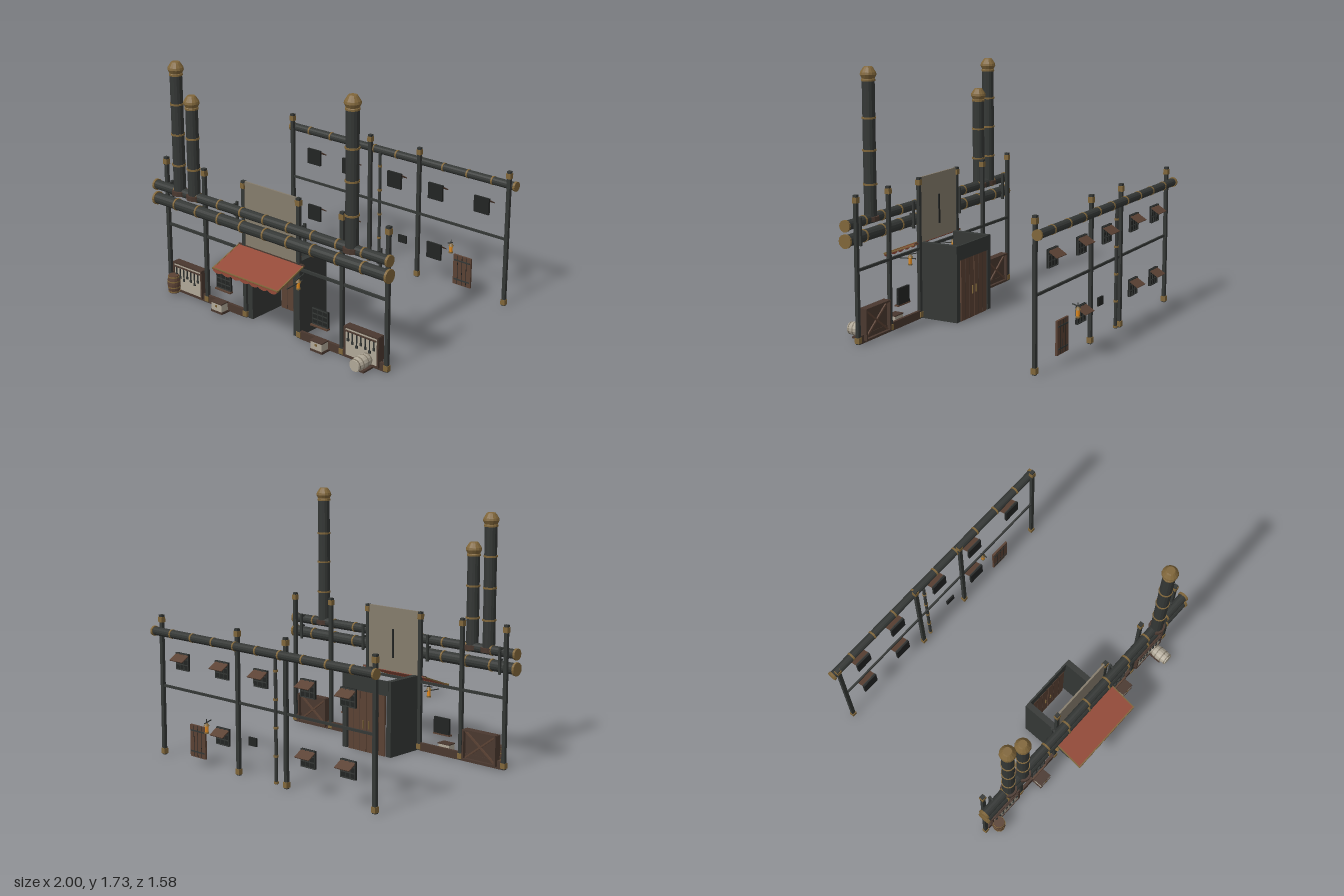
import * as THREE from 'three';

const mat = (color, double) => new THREE.MeshStandardMaterial({
  color, flatShading: true, side: double ? THREE.DoubleSide : THREE.FrontSide });
const IRON = mat(0x343735), BRASS = mat(0x80663a), WOOD = mat(0x4a382f), PLANK = mat(0x5b4234),
  RED = mat(0x944a38, true), CANVAS = mat(0x857c6c), PALE = mat(0xb0a898), GLOW = mat(0xe08a20), DARK = mat(0x222423);

export function createModel() {
  const root = new THREE.Group();
  const group = (name, x = 0, y = 0, z = 0, parent = root) => {
    const g = new THREE.Group();
    g.name = name;
    g.position.set(x, y, z);
    parent.add(g);
    return g;
  };
  const add = (parent, name, geo, m, x, y, z) => {
    const o = new THREE.Mesh(geo, m);
    o.name = name;
    o.position.set(x, y, z);
    parent.add(o);
    return o;
  };
  const box = (p, name, m, w, h, d, x, y, z) => add(p, name, new THREE.BoxGeometry(w, h, d), m, x, y, z);
  const cyl = (p, name, m, r, h, x, y, z, axis = 'y', r2 = r, n = 14) => {
    const o = add(p, name, new THREE.CylinderGeometry(r2, r, h, n), m, x, y, z);
    if (axis === 'x') o.rotation.z = Math.PI / 2;
    if (axis === 'z') o.rotation.x = Math.PI / 2;
    return o;
  };

  // Frame post with brass fittings at top and foot
  const post = (x, z) => {
    const g = group('post', x, 0, z);
    box(g, 'postShaft', IRON, 0.026, 0.95, 0.022, 0, 0.48, 0);
    for (const y of [0.03, 0.925]) box(g, 'postFitting', BRASS, 0.034, 0.036, 0.032, 0, y, 0);
    box(g, 'postTip', IRON, 0.028, 0.02, 0.026, 0, 0.948, 0);
  };
  for (const s of [-1, 1]) {
    for (const x of [0.945, 0.59, 0.235]) post(s * x, 0.533);
    for (const x of [0.945, 0.215]) post(s * x, -0.72);
  }

  // Long horizontal pipes with ring joints and end flanges
  const longPipe = (name, y, z, r, half) => {
    const g = group(name, 0, y, z);
    cyl(g, 'pipe', IRON, r, half * 2 - 0.01, 0, 0, 0, 'x');
    for (let i = -4; i <= 4; i++) cyl(g, 'pipeRing', BRASS, r * 1.1, 0.013, i * 0.2, 0, 0, 'x');
    for (const s of [-1, 1]) cyl(g, 'endFlange', BRASS, r * 1.2, 0.016, s * (half - 0.008), 0, 0, 'x');
  };
  longPipe('upperPipe', 0.765, 0.583, 0.032, 1);
  longPipe('lowerPipe', 0.668, 0.583, 0.038, 1);
  longPipe('backPipe', 0.85, -0.753, 0.028, 0.985);

  // Brackets holding the front pipes
  for (const s of [-1, 1]) for (const x of [0.29, 0.89]) {
    box(root, 'pipeBracket', IRON, 0.016, 0.18, 0.014, s * x, 0.715, 0.54);
    for (const y of [0.64, 0.72, 0.79]) box(root, 'bracketArm', IRON, 0.014, 0.012, 0.03, s * x, y, 0.552);
  }

  // Chimneys
  const chimney = (x, top, rings) => {
    const g = group('chimney', x, 0, 0.588);
    cyl(g, 'stack', IRON, 0.041, top - 0.06 - 0.76, 0, (top - 0.06 + 0.76) / 2, 0);
    cyl(g, 'stackFoot', WOOD, 0.055, 0.03, 0, 0.765, 0);
    for (const y of rings) cyl(g, 'stackRing', BRASS, 0.046, 0.012, 0, y, 0);
    const cap = [[0, -0.09], [0.045, -0.09], [0.045, -0.078], [0.041, -0.074], [0.053, -0.05], [0.05, -0.035],
      [0.033, -0.008], [0.026, 0], [0, 0]].map(p => new THREE.Vector2(...p));
    add(g, 'chimneyCap', new THREE.LatheGeometry(cap, 14), BRASS, 0, top, 0);
  };
  chimney(-0.765, 1.655, [0.96, 1.17, 1.375]);
  chimney(-0.63, 1.455, [0.96, 1.17]);
  chimney(0.71, 1.725, [0.985, 1.2, 1.405]);

  // Thin cross rails and foot boards
  box(root, 'frontRail', IRON, 1.9, 0.018, 0.014, 0, 0.48, 0.53);
  box(root, 'backRail', IRON, 1.9, 0.016, 0.012, 0, 0.48, -0.717);
  for (const s of [-1, 1]) box(root, 'footBoard', WOOD, 0.7, 0.055, 0.02, s * 0.597, 0.03, 0.533);

  // Sign panel above the entrance
  box(root, 'signPanel', CANVAS, 0.45, 0.44, 0.012, 0, 0.737, 0.533);
  box(root, 'panelBatten', DARK, 0.014, 0.2, 0.008, 0, 0.71, 0.524);

  // Entrance: side walls, lintel and double door
  const entrance = group('entrance');
  box(entrance, 'lintel', IRON, 0.4, 0.1, 0.012, 0, 0.468, 0.257);
  for (const s of [-1, 1]) {
    box(entrance, 'sideWall', IRON, 0.04, 0.518, 0.275, s * 0.2, 0.26, 0.39);
    box(entrance, 'doorLeaf', PLANK, 0.161, 0.42, 0.012, s * 0.084, 0.21, 0.259);
    for (const z of [0.25, 0.268]) {
      box(entrance, 'doorHandle', BRASS, 0.008, 0.055, 0.008, s * 0.025, 0.19, z);
      for (const x of [0.057, 0.112]) box(entrance, 'plankSeam', WOOD, 0.004, 0.41, 0.003, s * x, 0.21, z < 0.26 ? 0.2525 : 0.2655);
    }
  }

  // Awning with scalloped valance
  const awning = group('awning');
  const slope = Math.atan2(0.095, 0.255);
  const sheet = box(awning, 'awningSheet', RED, 0.55, 0.006, 0.272, 0, 0.468, 0.658);
  sheet.rotation.x = slope;
  for (const s of [-1, 1]) box(awning, 'awningEdge', BRASS, 0.008, 0.009, 0.272, s * 0.279, 0.468, 0.658).rotation.x = slope;
  box(awning, 'awningHem', BRASS, 0.566, 0.007, 0.008, 0, 0.426, 0.783);
  box(awning, 'wallBatten', WOOD, 0.566, 0.012, 0.012, 0, 0.515, 0.537);
  const valance = new THREE.Shape();
  valance.moveTo(-0.275, 0);
  valance.lineTo(0.275, 0);
  for (let i = 0; i < 7; i++) {
    const x = 0.275 - i * 0.55 / 7;
    valance.lineTo(x, -0.015);
    valance.quadraticCurveTo(x - 0.275 / 7, -0.04, x - 0.55 / 7, -0.015);
  }
  add(awning, 'valance', new THREE.ShapeGeometry(valance, 6), RED, 0, 0.424, 0.785);

  // Lanterns on wall arms; dir is the outward z direction
  const lantern = (x, y, z, dir, arm) => {
    const g = group('lantern', x, y, z);
    cyl(g, 'lanternGlass', GLOW, 0.011, 0.045, 0, 0, 0, 'y', 0.013, 8);
    cyl(g, 'lanternBase', BRASS, 0.015, 0.01, 0, -0.026, 0, 'y', 0.015, 8);
    cyl(g, 'lanternHood', BRASS, 0.02, 0.02, 0, 0.03, 0, 'y', 0.006, 8);
    cyl(g, 'lanternHook', IRON, 0.003, 0.03, 0, 0.05, 0, 'y', 0.003, 6);
    box(g, 'lanternArm', IRON, 0.006, 0.006, arm, 0, 0.045, -dir * 0.01).rotation.x = dir * 0.25;
  };
  for (const s of [-1, 1]) {
    lantern(s * 0.272, 0.4, 0.582, 1, 0.09);
    box(root, 'awningStay', IRON, 0.006, 0.006, 0.15, s * 0.272, 0.412, 0.612).rotation.x = 0.06;
  }
  lantern(0.47, 0.272, -0.762, -1, 0.06);

  // Dark barred window
  const barredWindow = (g, w, h, faceZ) => {
    box(g, 'pane', DARK, w, h, 0.012, 0, 0, 0);
    for (const t of [-0.5, -0.17, 0.17, 0.5]) {
      box(g, 'uprightBar', IRON, 0.006, h, 0.006, t * (w - 0.006), 0, faceZ);
      box(g, 'crossBar', IRON, w, 0.006, 0.006, 0, t * (h - 0.006), faceZ);
    }
  };
  // Back windows with tilted wooden shutters
  const backWindow = (x, y, w = 0.12) => {
    const g = group('backWindow', x, y, -0.722);
    barredWindow(g, w, w * 0.95, -0.008);
    box(g, 'shutter', PLANK, w, 0.006, w * 0.58, 0, w * 0.24, -0.035).rotation.x = -0.55;
  };
  for (const x of [-0.74, -0.41, 0, 0.355, 0.735]) backWindow(x, 0.67);
  for (const x of [-0.74, -0.41, 0.355]) backWindow(x, 0.235);
  box(root, 'smallVent', DARK, 0.07, 0.055, 0.012, 0.08, 0.25, -0.722);

  // Front windows with wooden sills, and a crate below each
  for (const s of [-1, 1]) {
    const g = group('frontWindow', s * 0.422, 0.205, 0.54);
    barredWindow(g, 0.13, 0.11, 0.008);
    box(g, 'sill', PLANK, 0.14, 0.01, 0.03, 0, -0.06, 0.008);

    const c = group('crate', s < 0 ? -0.425 : 0.45, 0.045, 0.588);
    box(c, 'crateBody', PALE, 0.09, 0.06, 0.06, 0, 0, 0);
    for (const y of [-0.03, 0.03]) box(c, 'crateTrim', WOOD, 0.098, 0.007, 0.068, 0, y, 0);
    box(c, 'crateLatch', BRASS, 0.014, 0.014, 0.006, 0, 0.008, 0.032);
    box(root, 'crateShelf', WOOD, 0.1, 0.01, 0.08, c.position.x, 0.008, 0.58);
  }

  // Tool boards with a braced wooden back and hanging tools
  for (const s of [-1, 1]) {
    const g = group('toolBoard', s * 0.76, 0.12, 0.535);
    box(g, 'board', PALE, 0.255, 0.19, 0.012, 0, 0, 0.012);
    box(g, 'backing', WOOD, 0.255, 0.19, 0.014, 0, 0, -0.002);
    for (const t of [-1, 1]) {
      box(g, 'boardRail', WOOD, 0.27, 0.012, 0.055, 0, t * 0.098, -0.005);
      box(g, 'boardStile', WOOD, 0.012, 0.2, 0.055, t * 0.131, 0, -0.005);
      box(g, 'backBrace', PLANK, 0.3, 0.012, 0.01, 0, 0, -0.014).rotation.z = t * 0.64;
    }
    box(g, 'toolRail', WOOD, 0.24, 0.007, 0.01, 0, 0.075, 0.023);
    for (let i = 0; i < 7; i++) {
      const x = -0.1 + i * 0.034, len = 0.05 + 0.014 * (i % 3);
      box(g, 'toolHandle', IRON, 0.006, len, 0.006, x, 0.072 - len / 2, 0.024);
      box(g, 'toolHead', IRON, 0.015, 0.018, 0.008, x, 0.068 - len, 0.024);
    }
  }

  // Barrels: one standing, one lying with its end to the front
  const barrel = (name, m, hoop, h, r, x, y, z) => {
    const g = group(name, x, y, z);
    const prof = [[0, -0.5], [0.82, -0.5], [0.95, -0.25], [1, 0], [0.95, 0.25], [0.82, 0.5], [0, 0.5]]
      .map(([a, b]) => new THREE.Vector2(a * r, b * h));
    add(g, 'staves', new THREE.LatheGeometry(prof, 14), m, 0, 0, 0);
    for (const t of [-0.42, -0.17, 0.17, 0.42])
      cyl(g, 'hoop', hoop, r * (1.04 - Math.abs(t) * 0.3), 0.008, 0, t * h, 0);
    return g;
  };
  barrel('standingBarrel', PLANK, BRASS, 0.125, 0.045, -0.865, 0.078, 0.583);
  barrel('lyingBarrel', PALE, CANVAS, 0.13, 0.046, 0.815, 0.06, 0.622).rotation.x = Math.PI / 2;
  box(root, 'barrelCradle', WOOD, 0.08, 0.012, 0.09, 0.815, 0.012, 0.6);

  // Back door
  const door = group('backDoor', 0.6, 0.155, -0.72);
  box(door, 'backDoorLeaf', PLANK, 0.145, 0.215, 0.014, 0, 0, 0);
  for (const y of [-0.07, 0.07]) box(door, 'hingeStrap', IRON, 0.13, 0.01, 0.02, 0, y, 0);
  for (const x of [-0.036, 0, 0.036]) box(door, 'doorSeam', DARK, 0.004, 0.21, 0.016, x, 0, 0);

  // Downpipe on the back
  const down = group('downpipe', -0.135, 0, -0.73);
  cyl(down, 'downpipeShaft', IRON, 0.011, 0.82, 0, 0.43, 0, 'y', 0.011, 10);
  for (const y of [0.03, 0.2, 0.38, 0.56, 0.74]) cyl(down, 'downpipeRing', BRASS, 0.015, 0.014, 0, y, 0, 'y', 0.015, 10);

  return root;
}
